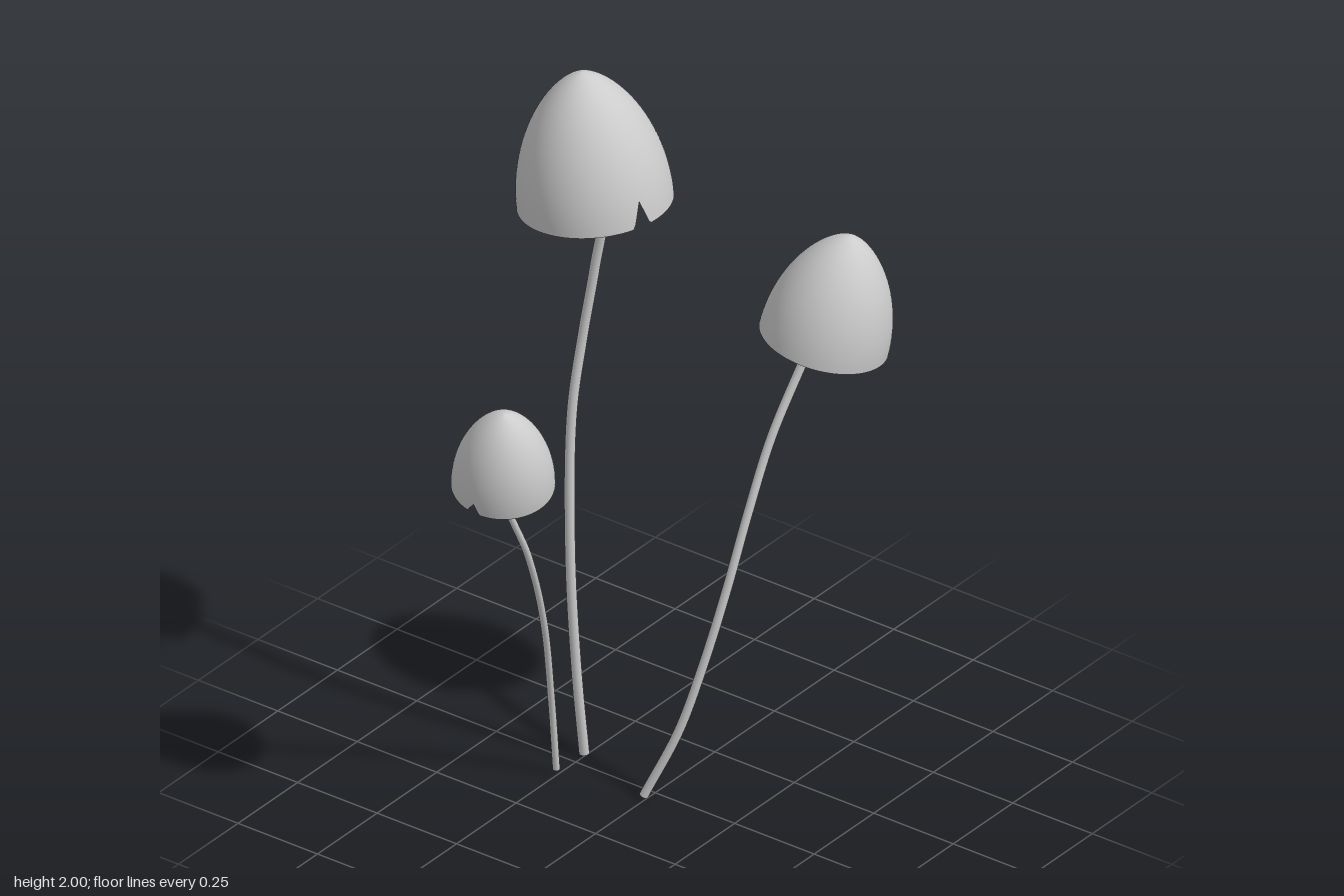
import * as THREE from 'three';

const material = new THREE.MeshStandardMaterial({ color: 0xcccccc, side: THREE.DoubleSide });
const UP = new THREE.Vector3(0, 1, 0);

// Thin bell: rim radius 1 at y = 0, tip at y = 1; notches are [dx, dz, half width, depth]
function capGeometry(radius, height, notches) {
  const rows = 28, segments = 180;
  const points = [];
  for (let i = 0; i <= rows; i++) points.push(new THREE.Vector2(1, i / rows));
  const geometry = new THREE.LatheGeometry(points, segments);
  const pos = geometry.attributes.position;
  for (let i = 0; i < pos.count; i++) {
    const phi = Math.atan2(pos.getX(i), pos.getZ(i));
    // the rim rises to a point inside each notch
    let rim = 0;
    for (const [dx, dz, halfWidth, depth] of notches) {
      const d = phi - Math.atan2(dx, dz);
      const gap = Math.abs(Math.atan2(Math.sin(d), Math.cos(d))) * radius;
      rim = Math.max(rim, (depth / height) * (1 - gap / halfWidth));
    }
    const t = rim + (1 - rim) * Math.sin(pos.getY(i) * Math.PI / 2);
    const r = radius * Math.pow(Math.max(0, 1 - t * t), 0.65);
    pos.setXYZ(i, r * Math.sin(phi), t * height, r * Math.cos(phi));
  }
  geometry.computeVertexNormals();
  return geometry;
}

function mushroom({ name, rimCentre, tip, radius, notches, stemRadius, stem }) {
  const group = new THREE.Group();
  group.name = name;

  // cap, leaning along the line from rim centre to tip
  const base = new THREE.Vector3(...rimCentre);
  const axis = new THREE.Vector3(...tip).sub(base);
  const cap = new THREE.Mesh(capGeometry(radius, axis.length(), notches), material);
  cap.name = 'cap';
  cap.position.copy(base);
  cap.quaternion.setFromUnitVectors(UP, axis.clone().normalize());
  group.add(cap);

  // curved stem, running up inside the cap
  const path = stem.map(p => new THREE.Vector3(...p));
  path.push(base.clone().addScaledVector(axis, 0.9));
  const curve = new THREE.CatmullRomCurve3(path);
  const stalk = new THREE.Mesh(new THREE.TubeGeometry(curve, 80, stemRadius, 16), material);
  stalk.name = 'stem';
  group.add(stalk);

  // flat cut at the foot
  const foot = new THREE.Mesh(new THREE.CircleGeometry(stemRadius, 16), material);
  foot.name = 'stemFoot';
  foot.position.copy(path[0]);
  foot.quaternion.setFromUnitVectors(new THREE.Vector3(0, 0, 1), curve.getTangent(0).negate());
  group.add(foot);
  return group;
}

export function createModel() {
  const model = new THREE.Group();
  model.name = 'mushroomCluster';
  model.add(
    mushroom({
      name: 'tallMushroom',
      rimCentre: [0.055, 1.632, -0.23], tip: [0.047, 2.0, -0.268], radius: 0.2,
      notches: [[-0.055, 0.19, 0.024, 0.07], [0.125, 0.155, 0.02, 0.035]],
      stemRadius: 0.0135,
      stem: [[0.042, 0.008, -0.255], [0.02, 0.25, -0.262], [0.01, 0.6, -0.275], [0.03, 1.0, -0.285],
        [0.06, 1.22, -0.273], [0.077, 1.42, -0.248], [0.08, 1.62, -0.222]],
    }),
    mushroom({
      name: 'leftMushroom',
      rimCentre: [0.35, 1.265, 0.268], tip: [0.393, 1.565, 0.322], radius: 0.168,
      notches: [[0.16, 0.035, 0.024, 0.06], [0.134, -0.1, 0.022, 0.035]],
      stemRadius: 0.012,
      stem: [[-0.035, 0.008, -0.01], [0.015, 0.2, 0.063], [0.06, 0.4, 0.11], [0.11, 0.6, 0.143],
        [0.168, 0.8, 0.165], [0.238, 1.0, 0.187], [0.335, 1.24, 0.235]],
    }),
    mushroom({
      name: 'rightMushroom',
      rimCentre: [-0.385, 1.028, -0.19], tip: [-0.428, 1.262, -0.155], radius: 0.132,
      notches: [[-0.07, -0.112, 0.022, 0.045], [-0.132, 0.005, 0.018, 0.03]],
      stemRadius: 0.0095,
      stem: [[-0.075, 0.018, -0.255], [-0.11, 0.23, -0.243], [-0.19, 0.52, -0.208],
        [-0.29, 0.77, -0.182], [-0.388, 1.0, -0.187]],
    }),
  );
  return model;
}
